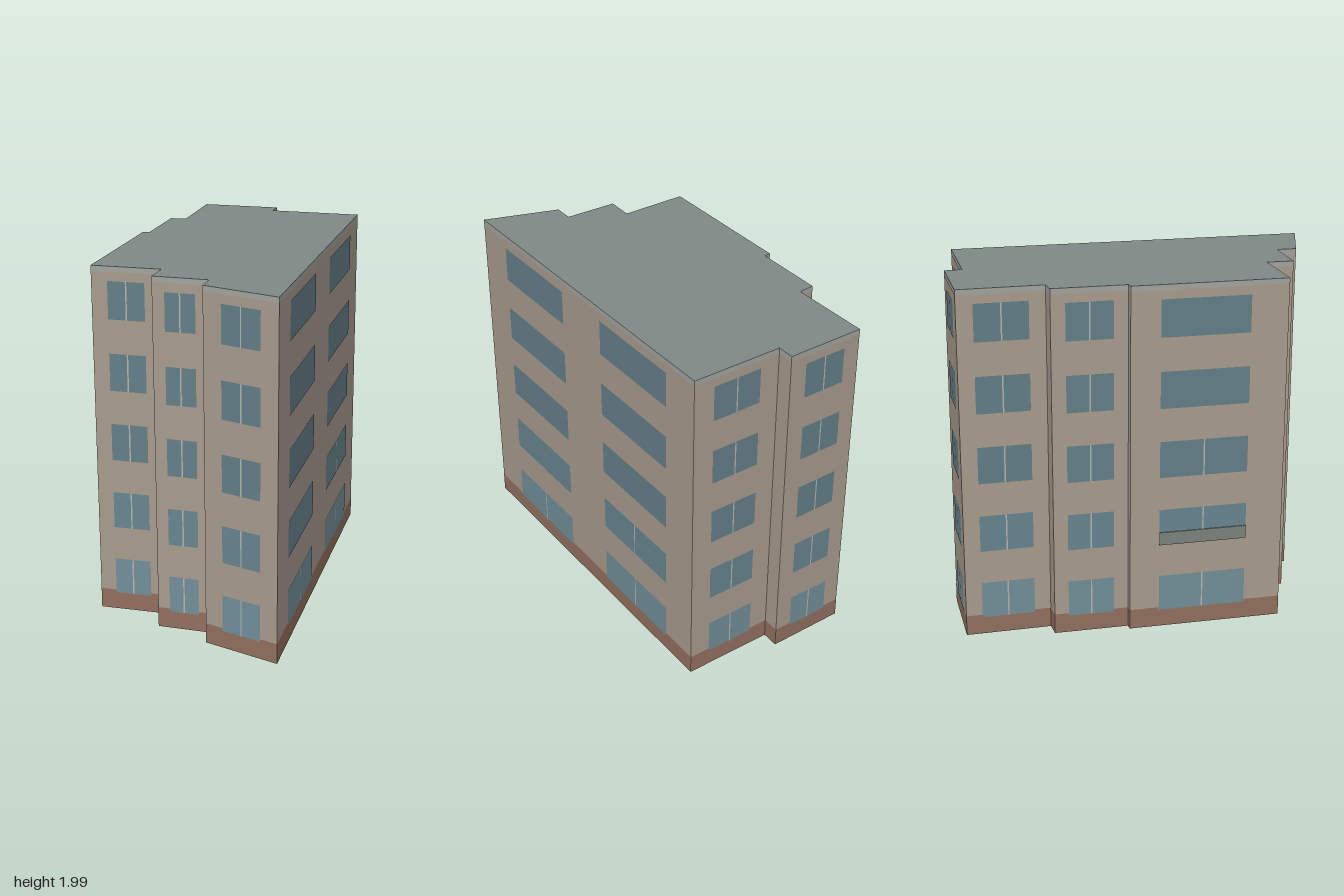
import * as THREE from 'three';

const HEIGHT = 1.99;
const mat = (color, side = THREE.FrontSide) => new THREE.MeshStandardMaterial({ color, side });

// Footprint corners [x, z], walked so that every wall faces outwards
const FOOTPRINT = [
  [0.16, -1], [-0.35, -0.835], [-0.38, -0.93], [-0.815, -0.785],
  [-0.66, -0.33], [-0.745, -0.295], [-0.615, 0.105], [-0.65, 0.12],
  [-0.38, 0.955], [-0.01, 0.83], [0.035, 0.98], [0.33, 0.89],
  [0.365, 1], [0.815, 1],
];

// Windows: wall index, span along the wall (0..1), number of floors with a mullion
const WINDOWS = [
  [0, 0.23, 0.78, 5], [2, 0.22, 0.78, 5],
  [3, 0.19, 0.81, 5], [5, 0.19, 0.81, 5], [7, 0.19, 0.76, 3],
  [8, 0.23, 0.757, 5], [9, 0.24, 0.74, 0], [10, 0.22, 0.76, 5], [12, 0.245, 0.767, 5],
  [13, 0.117, 0.41, 1], [13, 0.59, 0.885, 2],
];

export function createModel() {
  const building = new THREE.Group();
  building.name = 'apartmentBlock';

  const wallMat = mat(0xa99c8e, THREE.DoubleSide);
  const plinthMat = mat(0x92705f);
  const trimMat = mat(0xa3a5a0);
  const roofMat = mat(0x7f8a87, THREE.DoubleSide);
  const mullionMat = mat(0xb5b5b0);
  const railMat = mat(0x7c837c);
  const glassMats = [0x728f99, 0x688590, 0x647f89, 0x647f89, 0x647f89].map((c) => mat(c));

  // Direction, length and outward angle of a wall
  const walls = FOOTPRINT.map((a, i) => {
    const b = FOOTPRINT[(i + 1) % FOOTPRINT.length];
    const dx = b[0] - a[0], dz = b[1] - a[1], length = Math.hypot(dx, dz);
    return { a, dx, dz, length, nx: -dz / length, nz: dx / length };
  });

  // Places a panel (or a slab, when depth is given) on a wall
  function addPanel(parent, name, wall, [u0, u1], [y0, y1], offset, material, depth = 0) {
    const width = (u1 - u0) * wall.length;
    const geometry = depth
      ? new THREE.BoxGeometry(width, y1 - y0, depth)
      : new THREE.PlaneGeometry(width, y1 - y0);
    const mesh = new THREE.Mesh(geometry, material);
    const u = (u0 + u1) / 2;
    mesh.position.set(
      wall.a[0] + wall.dx * u + wall.nx * offset,
      (y0 + y1) / 2,
      wall.a[1] + wall.dz * u + wall.nz * offset,
    );
    mesh.rotation.y = Math.atan2(wall.nx, wall.nz);
    mesh.name = name;
    parent.add(mesh);
  }

  const group = (name) => {
    const g = new THREE.Group();
    g.name = name;
    building.add(g);
    return g;
  };

  // Wall shell, open underneath, with plinth and parapet bands
  const shell = group('walls'), plinth = group('plinth'), parapet = group('parapet');
  for (const wall of walls) {
    addPanel(shell, 'wall', wall, [0, 1], [0, HEIGHT], 0, wallMat);
    addPanel(plinth, 'plinthBand', wall, [0, 1], [0, 0.115], 0.001, plinthMat);
    addPanel(parapet, 'parapetBand', wall, [0, 1], [1.96, HEIGHT], 0.001, trimMat);
  }

  // Flat roof
  const outline = new THREE.Shape(FOOTPRINT.map(([x, z]) => new THREE.Vector2(x, -z)));
  const roof = new THREE.Mesh(new THREE.ShapeGeometry(outline).rotateX(-Math.PI / 2), roofMat);
  roof.position.y = HEIGHT;
  roof.name = 'roof';
  building.add(roof);

  // Five floors of windows
  const windows = group('windows');
  for (const [index, u0, u1, mullions] of WINDOWS) {
    const wall = walls[index];
    for (let floor = 0; floor < 5; floor++) {
      const span = [0.1 + floor * 0.4, 0.31 + floor * 0.4];
      addPanel(windows, 'windowGlass', wall, [u0, u1], span, 0.002, glassMats[floor]);
      if (floor < mullions) {
        const mid = (u0 + u1) / 2, half = 0.004 / wall.length;
        addPanel(windows, 'mullion', wall, [mid - half, mid + half], span, 0.003, mullionMat);
      }
    }
  }

  // Shallow balcony rail in front of one first-floor window
  addPanel(building, 'balconyRail', walls[7], [0.19, 0.76], [0.5, 0.575], 0.004, railMat, 0.008);

  return building;
}
